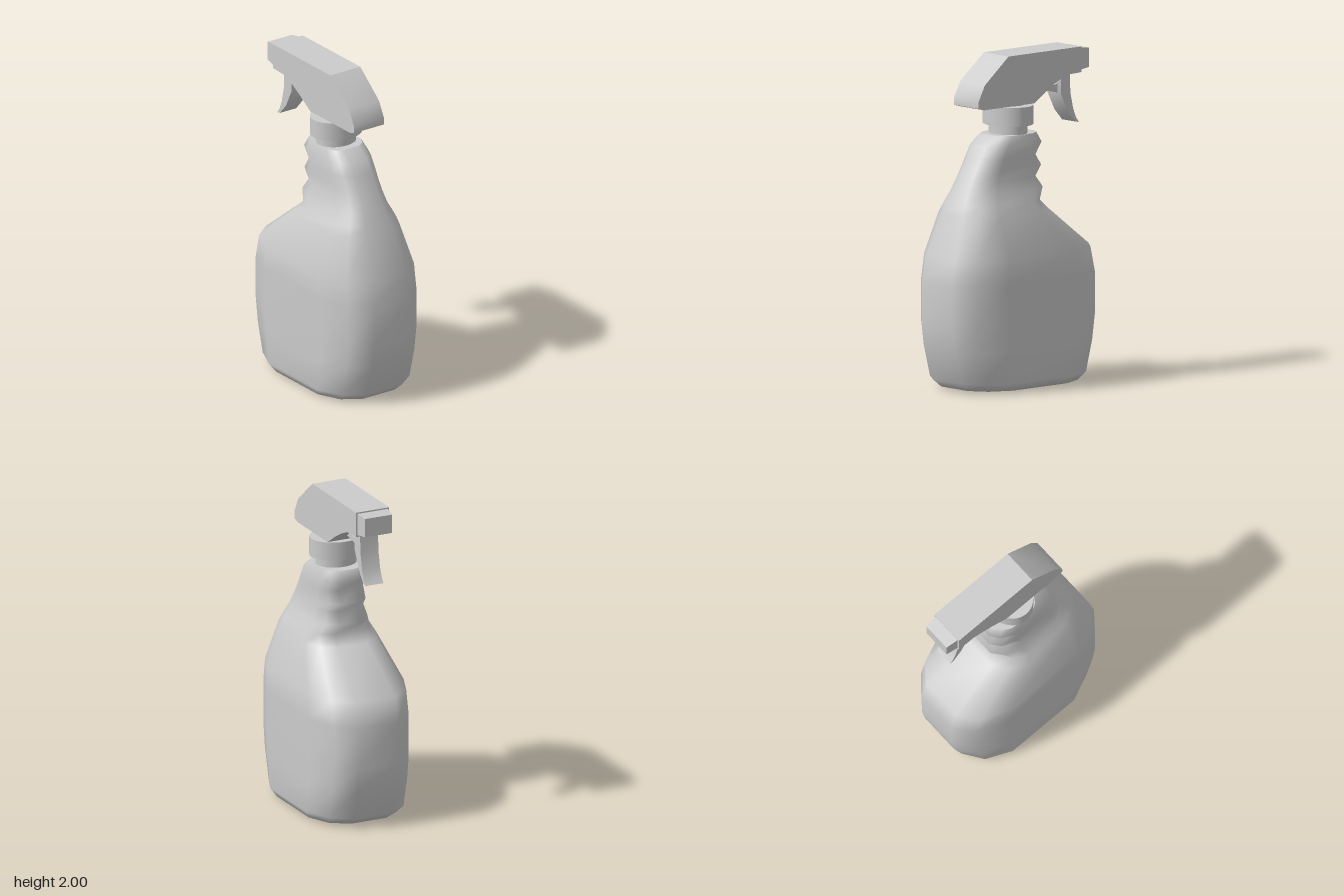
import * as THREE from 'three';
import { toCreasedNormals } from 'three/addons/utils/BufferGeometryUtils.js';

const material = new THREE.MeshStandardMaterial({ color: 0xcccccc });

// One quadrant of the twelve-sided bottle outline, as fractions of half width and half depth
const QUADRANT = [[1, 0.41], [0.83, 0.78], [0.5, 1]];
const OUTLINE = [
  ...QUADRANT,
  ...QUADRANT.map(([x, z]) => [-x, z]).reverse(),
  ...QUADRANT.map(([x, z]) => [-x, -z]),
  ...QUADRANT.map(([x, z]) => [x, -z]).reverse(),
];

// Bottle levels: height, front edge x, back edge x, half depth, optional middle x
const LEVELS = [
  [0.012, -0.43, 0.43, 0.29],
  [0.06, -0.485, 0.485, 0.32],
  [0.25, -0.545, 0.545, 0.32],
  [0.4, -0.57, 0.57, 0.32],
  [0.66, -0.57, 0.57, 0.32],
  [0.81, -0.53, 0.54, 0.32],
  [1.06, -0.22, 0.445, 0.24, 0.12],
  [1.12, -0.155, 0.42, 0.21, 0.12],
  [1.19, -0.205, 0.385, 0.177, 0.1],
  [1.26, -0.15, 0.35, 0.158, 0.09],
  [1.32, -0.205, 0.315, 0.152, 0.07],
  [1.39, -0.15, 0.275, 0.15, 0.05],
  [1.46, -0.205, 0.235, 0.147, 0.02],
  [1.52, -0.165, 0.155, 0.13, 0],
];

function bottleGeometry() {
  const positions = [];
  const index = [];
  const n = OUTLINE.length;
  const addRing = ([y, x0, x1, depth, mid = (x0 + x1) / 2]) => {
    for (const [fx, fz] of OUTLINE) {
      positions.push(mid + fx * (fx > 0 ? x1 - mid : mid - x0), y, fz * depth);
    }
  };
  LEVELS.forEach(addRing);
  for (let i = 0; i < LEVELS.length - 1; i++) {
    for (let j = 0; j < n; j++) {
      const a = i * n + j;
      const b = i * n + (j + 1) % n;
      index.push(a, a + n, b, b, a + n, b + n);
    }
  }
  // The base blends into the sides; the shoulder has its own ring for a sharp edge
  const top = LEVELS.length * n;
  addRing(LEVELS[LEVELS.length - 1]);
  const bottomCentre = top + n;
  positions.push(0, 0, 0, 0, 1.52, 0);
  for (let j = 0; j < n; j++) {
    const k = (j + 1) % n;
    index.push(bottomCentre, j, k, bottomCentre + 1, top + k, top + j);
  }
  const geometry = new THREE.BufferGeometry();
  geometry.setAttribute('position', new THREE.Float32BufferAttribute(positions, 3));
  geometry.setIndex(index);
  geometry.computeVertexNormals();
  return geometry;
}

// Side profile extruded evenly about z = 0
function slab(points, width) {
  const shape = new THREE.Shape(points.map(([x, y]) => new THREE.Vector2(x, y)));
  const geometry = new THREE.ExtrudeGeometry(shape, { depth: width, bevelEnabled: false });
  geometry.translate(0, 0, -width / 2);
  return toCreasedNormals(geometry, THREE.MathUtils.degToRad(35));
}

// Slightly oval upright ring
function ovalCylinder(rx, rz, y0, y1) {
  const geometry = new THREE.CylinderGeometry(1, 1, y1 - y0, 32);
  geometry.scale(rx, 1, rz);
  geometry.translate(0, (y0 + y1) / 2, 0);
  return geometry;
}

// Box narrowing toward its outer end
function nozzleGeometry() {
  const geometry = new THREE.BoxGeometry(0.08, 0.135, 0.2);
  const p = geometry.attributes.position;
  for (let i = 0; i < p.count; i++) {
    if (p.getX(i) < 0) p.setXYZ(i, p.getX(i), p.getY(i) * 0.86, p.getZ(i) * 0.9);
  }
  geometry.translate(-0.53, 1.924, 0);
  geometry.computeVertexNormals();
  return geometry;
}

export function createModel() {
  const model = new THREE.Group();
  model.name = 'sprayBottle';
  const add = (name, geometry) => {
    const mesh = new THREE.Mesh(geometry, material);
    mesh.name = name;
    model.add(mesh);
  };

  add('bottle', bottleGeometry());

  // Neck and screw collar
  add('neck', ovalCylinder(0.108, 0.127, 1.5, 1.6));
  add('collar', ovalCylinder(0.14, 0.165, 1.575, 1.69));
  add('collarStem', ovalCylinder(0.09, 0.1, 1.68, 1.72));

  // Spray head
  add('sprayHead', slab([
    [-0.49, 2], [-0.49, 1.845], [-0.37, 1.84], [-0.29, 1.805], [-0.21, 1.76], [-0.11, 1.695],
    [0.29, 1.695], [0.335, 1.708], [0.335, 1.75], [0.285, 1.845], [0.095, 2],
  ], 0.222));
  add('nozzle', nozzleGeometry());

  // Trigger lever and the rod linking it to the head
  add('trigger', slab([
    [-0.442, 1.85], [-0.447, 1.72], [-0.47, 1.62], [-0.49, 1.57], [-0.515, 1.535],
    [-0.487, 1.54], [-0.425, 1.61], [-0.37, 1.72], [-0.37, 1.85],
  ], 0.12));
  add('triggerRod', slab([
    [-0.39, 1.79], [-0.39, 1.71], [-0.365, 1.728], [-0.31, 1.738], [-0.2, 1.758],
    [-0.2, 1.785], [-0.24, 1.787], [-0.31, 1.77], [-0.36, 1.777],
  ], 0.06));

  return model;
}
